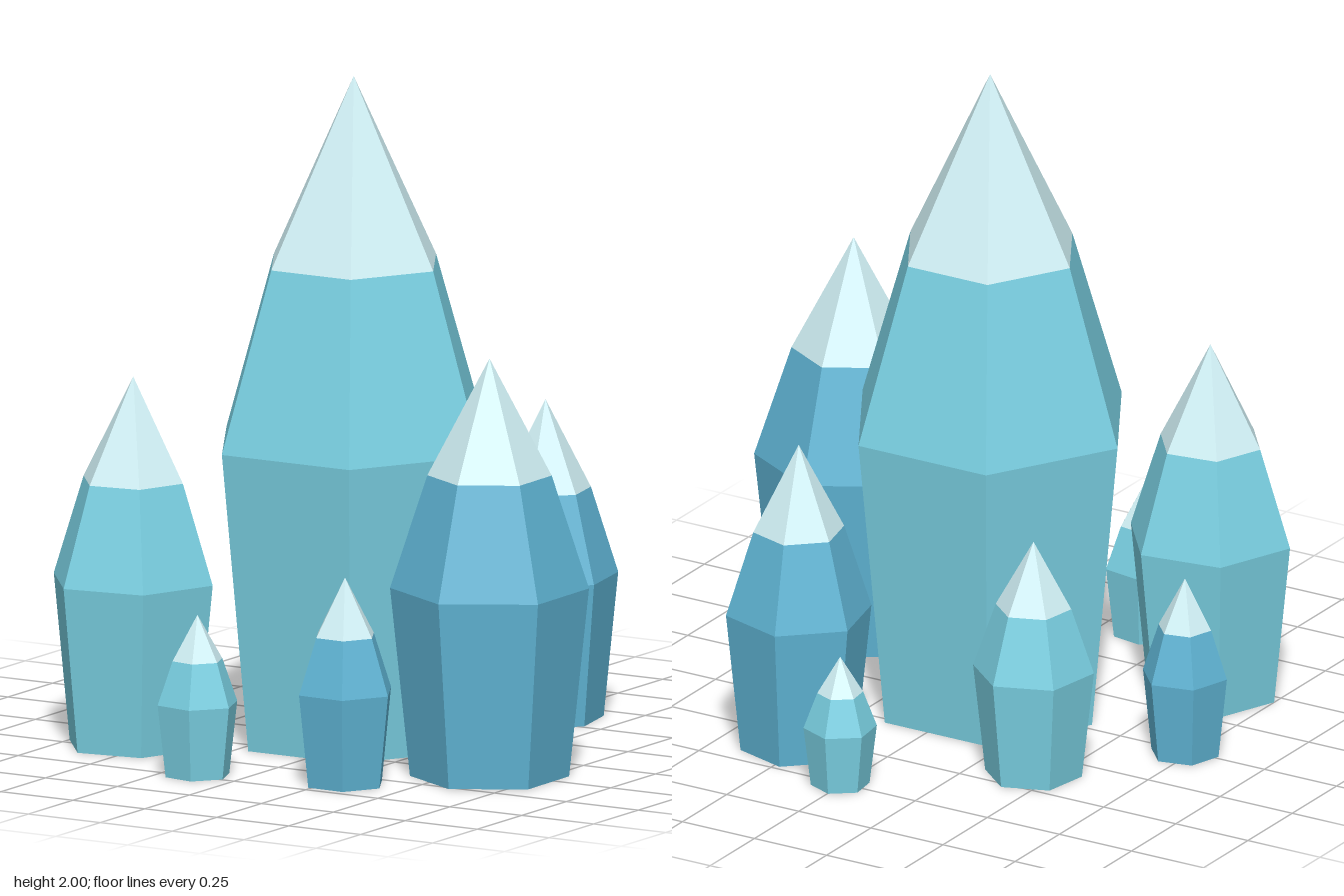
import * as THREE from 'three';

const material = (color) => new THREE.MeshStandardMaterial({ color, flatShading: true });

// One six-sided crystal standing on the ground: a tapered shaft that swells
// to its girdle and narrows to a shoulder, with a pale pointed tip.
function createCrystal({ name, x, z, radius, height, turn, bodyMaterial, tipMaterial }) {
  const girdleY = 0.45 * height;
  const shoulderY = 0.72 * height;
  const shoulderRadius = 0.625 * radius;

  const crystal = new THREE.Group();
  crystal.name = name;
  crystal.position.set(x, 0, z);
  crystal.rotation.y = THREE.MathUtils.degToRad(90 - turn);

  // Shaft, closed underneath
  const profile = [
    [0, 0],
    [0.8 * radius, 0],
    [radius, girdleY],
    [shoulderRadius, shoulderY],
  ].map(([r, y]) => new THREE.Vector2(r, y));
  const shaftGeometry = new THREE.LatheGeometry(profile, 6).toNonIndexed();
  shaftGeometry.computeVertexNormals();
  const shaft = new THREE.Mesh(shaftGeometry, bodyMaterial);
  shaft.name = 'shaft';

  // Pointed tip
  const tipHeight = height - shoulderY;
  const tipGeometry = new THREE.ConeGeometry(shoulderRadius, tipHeight, 6, 1, true).toNonIndexed();
  tipGeometry.computeVertexNormals();
  const tip = new THREE.Mesh(tipGeometry, tipMaterial);
  tip.name = 'tip';
  tip.position.y = shoulderY + tipHeight / 2;

  crystal.add(shaft, tip);
  return crystal;
}

export function createModel() {
  const teal = material(0x7ad0e2);
  const blue = material(0x5fb4d4);
  const pale = material(0xd0f0f5);

  // name, x, z, radius, height, turn of a corner from +x towards +z (degrees), colour
  const crystals = [
    ['mainCrystal', -0.03, 0.03, 0.442, 2.0, 0, teal],
    ['frontLeftCrystal', 0.6, 0.285, 0.294, 1.257, 89.1, blue],
    ['frontRightCrystal', -0.547, 0.432, 0.256, 1.109, -8.3, teal],
    ['backLeftCrystal', 0.269, -0.563, 0.219, 0.96, 77.3, blue],
    ['backRightCrystal', -0.434, -0.382, 0.182, 0.738, 99.5, teal],
    ['smallFrontLeftCrystal', 0.303, 0.616, 0.152, 0.622, 1.7, blue],
    ['smallRightCrystal', -0.731, -0.011, 0.131, 0.555, 107.3, blue],
    ['smallFrontCrystal', -0.14, 0.729, 0.124, 0.483, 9.8, teal],
    ['smallBackCrystal', 0.009, -0.752, 0.109, 0.405, 82.7, teal],
  ];

  const model = new THREE.Group();
  model.name = 'crystalCluster';
  for (const [name, x, z, radius, height, turn, bodyMaterial] of crystals) {
    model.add(createCrystal({ name, x, z, radius, height, turn, bodyMaterial, tipMaterial: pale }));
  }
  return model;
}
